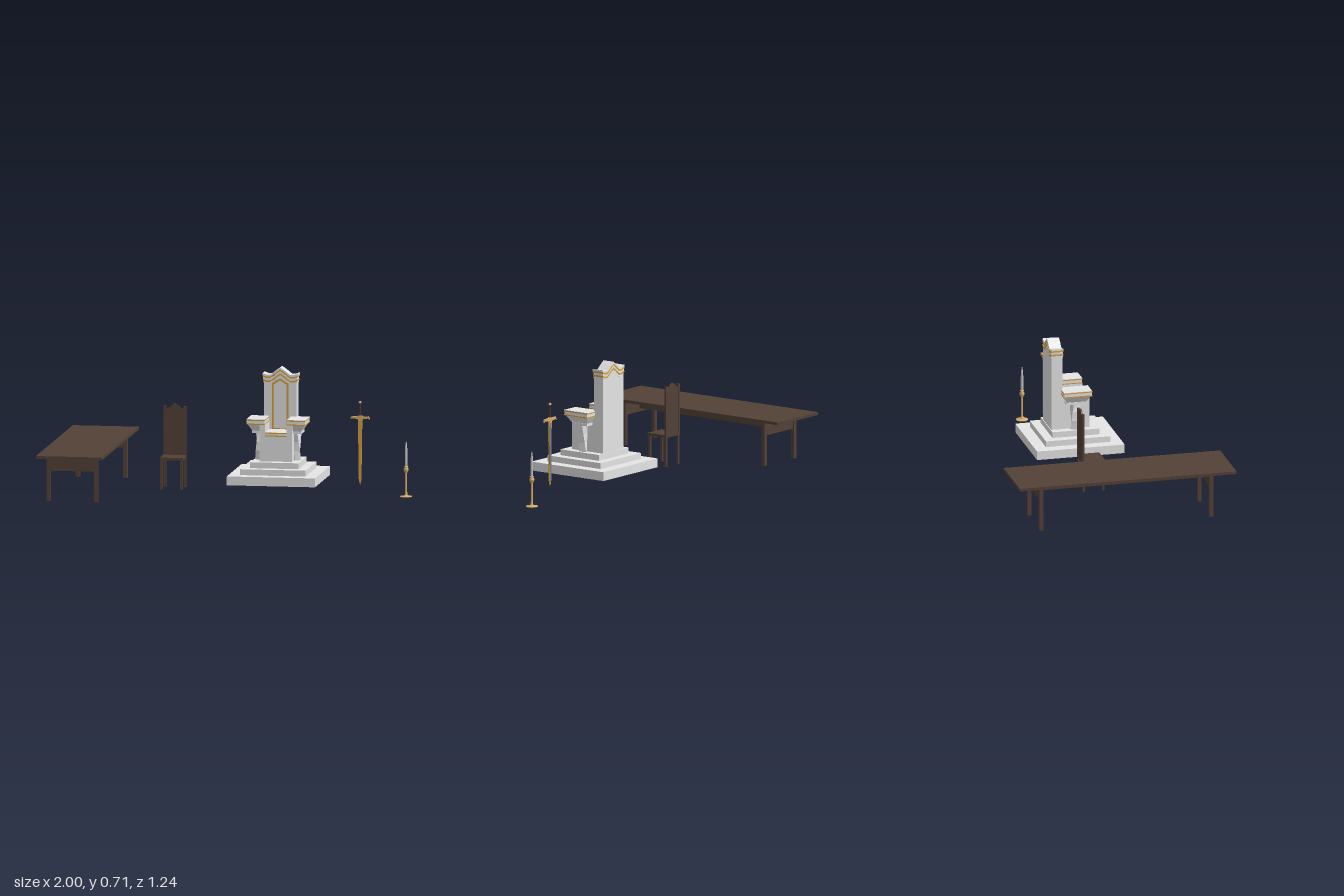
import * as THREE from 'three';

const mat = (name, color) => {
  const m = new THREE.MeshStandardMaterial({ color });
  m.name = name;
  return m;
};

export function createModel() {
  const wood = mat('dark wood', 0x534136);
  const stone = mat('pale stone', 0xe5e5e5);
  const gold = mat('gold', 0xd8a23c);
  const brass = mat('brass', 0xd6ac68);
  const steel = mat('steel', 0x7c7c80);
  const wax = mat('candle wax', 0xc4c4c4);
  const leather = mat('dark grip', 0x4a3420);

  const root = new THREE.Group();
  const group = (name) => {
    const g = new THREE.Group();
    g.name = name;
    root.add(g);
    return g;
  };
  const add = (parent, name, geo, material) => {
    const m = new THREE.Mesh(geo, material);
    m.name = name;
    parent.add(m);
    return m;
  };
  // Box given by its extents
  const box = (parent, name, material, x0, x1, y0, y1, z0, z1) => {
    const m = add(parent, name, new THREE.BoxGeometry(x1 - x0, y1 - y0, z1 - z0), material);
    m.position.set((x0 + x1) / 2, (y0 + y1) / 2, (z0 + z1) / 2);
    return m;
  };
  // Outline in x, y extruded from z0 to z1
  const plate = (parent, name, material, pts, z0, z1, hole) => {
    const s = new THREE.Shape(pts.map((p) => new THREE.Vector2(...p)));
    if (hole) s.holes.push(new THREE.Path(hole.map((p) => new THREE.Vector2(...p))));
    const g = new THREE.ExtrudeGeometry(s, { depth: z1 - z0, bevelEnabled: false });
    g.translate(0, 0, z0);
    return add(parent, name, g, material);
  };
  const lathe = (parent, name, material, pts, x, z, sides = 16) => {
    const g = new THREE.LatheGeometry(pts.map((p) => new THREE.Vector2(...p)), sides);
    const m = add(parent, name, g, material);
    m.position.set(x, 0, z);
    return m;
  };

  // Long table
  const table = group('table');
  box(table, 'tableTop', wood, -1, -0.627, 0.27, 0.286, -0.622, 0.622);
  for (const x of [-0.949, -0.681])
    for (const z of [-0.488, 0.488])
      box(table, 'tableLeg', wood, x - 0.011, x + 0.011, 0.017, 0.27, z - 0.011, z + 0.011);
  for (const z of [-0.488, 0.488])
    box(table, 'endApron', wood, -0.94, -0.69, 0.187, 0.27, z - 0.006, z + 0.006);
  box(table, 'centreBeam', wood, -0.822, -0.808, 0.205, 0.27, -0.485, 0.485);

  // Chair
  const chair = group('chair');
  box(chair, 'seat', wood, -0.402, -0.272, 0.192, 0.207, -0.112, 0.017);
  for (const x of [-0.393, -0.281]) {
    box(chair, 'frontLeg', wood, x - 0.007, x + 0.007, 0.027, 0.192, 0.003, 0.016);
    box(chair, 'rearLeg', wood, x - 0.007, x + 0.007, 0.027, 0.192, -0.11, -0.097);
    box(chair, 'backPost', wood, x - 0.008, x + 0.008, 0.207, 0.481, -0.112, -0.099);
  }
  plate(chair, 'backPanel', wood, [
    [-0.386, 0.207], [-0.288, 0.207], [-0.288, 0.466], [-0.304, 0.472], [-0.318, 0.485],
    [-0.337, 0.497], [-0.356, 0.485], [-0.37, 0.472], [-0.386, 0.466],
  ], -0.11, -0.101);

  // Throne: stepped plinth
  const throne = group('throne');
  throne.position.x = 0.261;
  box(throne, 'lowerStep', stone, -0.249, 0.249, 0.091, 0.141, -0.269, 0.234);
  box(throne, 'middleStep', stone, -0.185, 0.185, 0.141, 0.174, -0.202, 0.17);
  box(throne, 'upperStep', stone, -0.136, 0.136, 0.174, 0.207, -0.152, 0.117);

  // Seat block with two gold lines along its front edge
  box(throne, 'seatBlock', stone, -0.061, 0.061, 0.207, 0.369, -0.085, 0.068);
  for (const y of [0.347, 0.363])
    box(throne, 'seatTrim', gold, -0.061, 0.061, y, y + 0.006, 0.066, 0.071);

  // Arms: wall, twisted column, cap, flared bracket, slab and gold edging
  for (const s of [-1, 1]) {
    const span = (name, m, a, b, y0, y1, z0, z1) =>
      box(throne, name, m, Math.min(s * a, s * b), Math.max(s * a, s * b), y0, y1, z0, z1);
    span('armWall', stone, 0.061, 0.092, 0.207, 0.412, -0.085, 0.07);

    const col = new THREE.BoxGeometry(0.034, 0.153, 0.04, 1, 3, 1).toNonIndexed();
    const p = col.attributes.position;
    for (let i = 0; i < p.count; i++) {
      const a = s * (p.getY(i) / 0.153) * 0.9;
      const x = p.getX(i), z = p.getZ(i);
      p.setXYZ(i, x * Math.cos(a) - z * Math.sin(a), p.getY(i), x * Math.sin(a) + z * Math.cos(a));
    }
    col.computeVertexNormals();
    add(throne, 'armColumn', col, stone).position.set(s * 0.105, 0.284, -0.017);
    span('columnCap', stone, 0.085, 0.14, 0.36, 0.374, -0.072, 0.034);

    const flare = new THREE.BoxGeometry(0.06, 0.038, 0.11).toNonIndexed();
    const f = flare.attributes.position;
    for (let i = 0; i < f.count; i++) {
      if (f.getY(i) < 0) continue;
      if (f.getX(i) * s > 0) f.setX(i, f.getX(i) + s * 0.023);
      f.setZ(i, f.getZ(i) * 1.4);
    }
    flare.computeVertexNormals();
    add(throne, 'armBracket', flare, stone).position.set(s * 0.107, 0.393, -0.014);

    span('armSlab', stone, 0.064, 0.164, 0.411, 0.434, -0.091, 0.067);
    for (const y of [0.411, 0.433])
      span('armTrim', gold, 0.062, 0.166, y, y + 0.006, -0.093, 0.069);
    span('armTop', stone, 0.062, 0.166, 0.439, 0.442, -0.093, 0.069);
  }

  // Tall back with ogee crown layers
  const wave = [[-1, 0], [-0.78, -0.008], [-0.55, -0.008], [-0.25, 0.016], [0, 0.033],
    [0.25, 0.016], [0.55, -0.008], [0.78, -0.008], [1, 0]];
  const curve = (half, y) => wave.map(([x, dy]) => [x * half, y + dy]);
  plate(throne, 'backrest', stone,
    [[-0.093, 0.207], [0.093, 0.207], ...curve(0.093, 0.628).reverse()], -0.148, -0.083);
  const layer = (name, m, half, y0, y1, grow) => plate(throne, name, m,
    [...curve(half, y0), ...curve(half, y1).reverse()], -0.148 - grow, -0.083 + grow);
  layer('lowestCrown', stone, 0.095, 0.628, 0.64, 0.001);
  layer('lowerCrownTrim', gold, 0.098, 0.64, 0.649, 0.003);
  layer('middleCrown', stone, 0.096, 0.649, 0.662, 0.001);
  layer('upperCrownTrim', gold, 0.099, 0.662, 0.671, 0.003);
  layer('upperCrown', stone, 0.1, 0.671, 0.682, 0.002);

  // Gold frame on the backrest
  plate(throne, 'backFrame', gold,
    [[-0.047, 0.369], [0.047, 0.369], [0.047, 0.626], [0, 0.655], [-0.047, 0.626]], -0.083, -0.078,
    [[-0.036, 0.374], [-0.036, 0.619], [0, 0.643], [0.036, 0.619], [0.036, 0.374]]);

  // Sword standing on its point: gold blade with a steel inlay behind
  const sword = group('sword');
  sword.position.set(0.717, 0, -0.053);
  const blade = (w, y0, y1) =>
    [[0, y0], [w * 0.6, y0 + 0.03], [w, y1], [-w, y1], [-w * 0.6, y0 + 0.03]];
  plate(sword, 'blade', gold, blade(0.012, 0.072, 0.44), -0.004, 0.004);
  plate(sword, 'bladeInlay', steel, blade(0.01, 0.08, 0.436), -0.005, -0.004);
  plate(sword, 'crossGuard', brass, [
    [-0.056, 0.438], [-0.045, 0.444], [-0.018, 0.441], [0, 0.428], [0.018, 0.441], [0.045, 0.444],
    [0.056, 0.438], [0.048, 0.456], [0.02, 0.455], [0, 0.462], [-0.02, 0.455], [-0.048, 0.456],
  ], -0.006, 0.006);
  add(sword, 'grip', new THREE.CylinderGeometry(0.004, 0.006, 0.07, 10), leather).position.y = 0.493;
  add(sword, 'pommel', new THREE.SphereGeometry(0.0085, 12, 8), brass).position.y = 0.534;

  // Candlestick
  const candle = group('candlestick');
  lathe(candle, 'stand', brass, [
    [0, 0], [0.034, 0], [0.034, 0.004], [0.014, 0.007], [0.008, 0.012], [0.006, 0.03], [0.006, 0.132],
    [0.009, 0.138], [0.014, 0.15], [0.014, 0.158], [0.008, 0.166], [0.012, 0.172], [0, 0.173],
  ], 0.966, -0.116);
  lathe(candle, 'candle', wax, [
    [0.0075, 0.17], [0.0075, 0.25], [0.006, 0.28], [0.003, 0.305], [0, 0.314],
  ], 0.966, -0.116, 8);

  return root;
}
